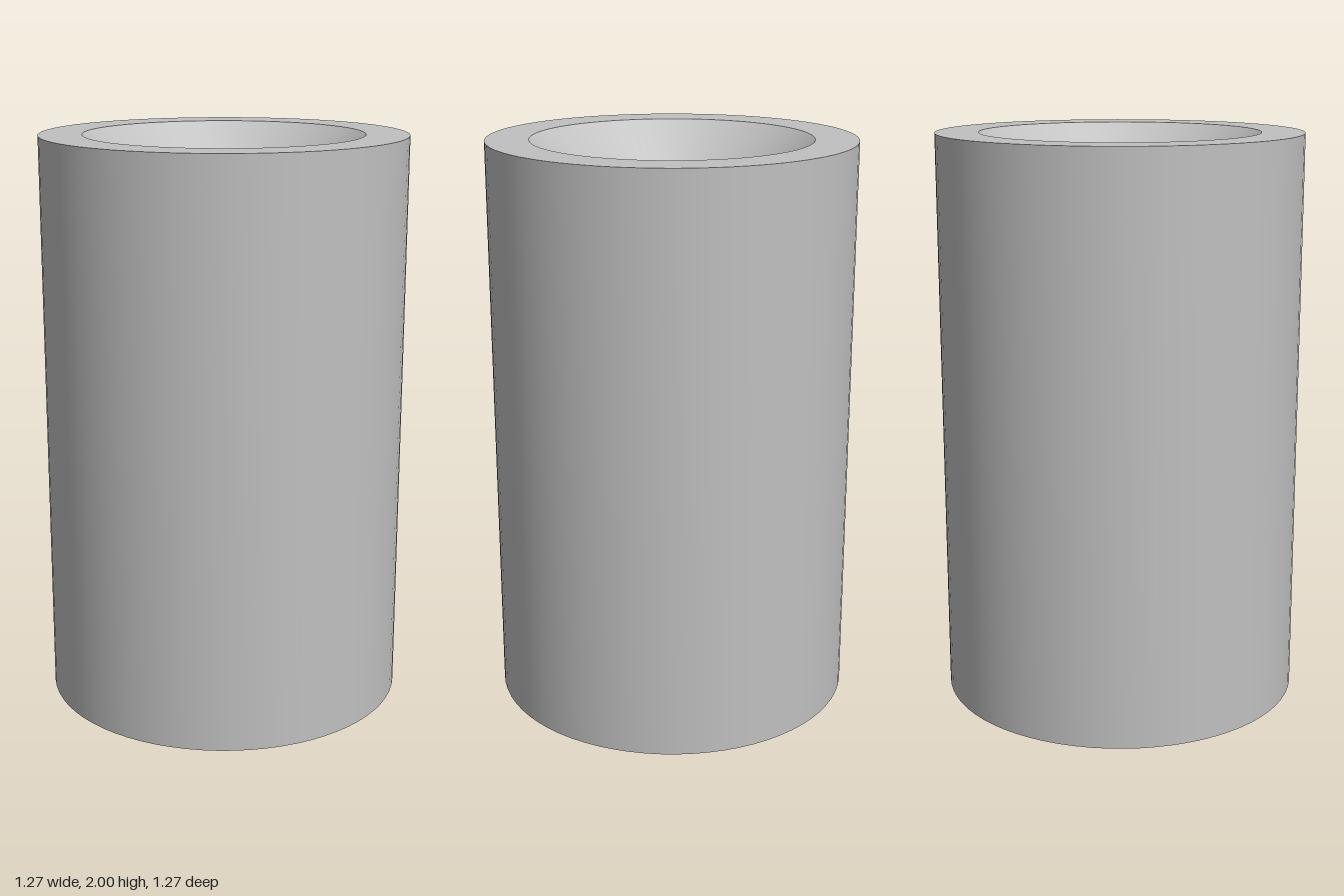
import * as THREE from 'three';
import { toCreasedNormals } from 'three/addons/utils/BufferGeometryUtils.js';

const HEIGHT = 2;
const OUTER_R = 0.633;
const SINK_R = 0.484;     // mouth of the countersink
const BORE_R = 0.311;
const SINK_DEPTH = 0.14;
const BORE_DEPTH = 0.75;  // blind bore at each end

export function createModel() {
  const group = new THREE.Group();
  group.name = 'spacer';

  const greyMetal = new THREE.MeshStandardMaterial({ color: 0xc0c0c0 });
  greyMetal.name = 'grey metal';

  // Half profile of one end, from the bore floor out to the outer wall
  const end = [
    [0, BORE_DEPTH],
    [BORE_R, BORE_DEPTH],
    [BORE_R, SINK_DEPTH],
    [SINK_R, 0],
    [OUTER_R, 0],
  ];
  // Mirror the end to the top and revolve the closed profile
  const profile = [
    ...end.map(([r, d]) => new THREE.Vector2(r, d)),
    ...end.map(([r, d]) => new THREE.Vector2(r, HEIGHT - d)).reverse(),
  ];
  const geometry = toCreasedNormals(new THREE.LatheGeometry(profile, 72), 0.4);

  const body = new THREE.Mesh(geometry, greyMetal);
  body.name = 'countersunkCylinder';
  group.add(body);
  return group;
}
